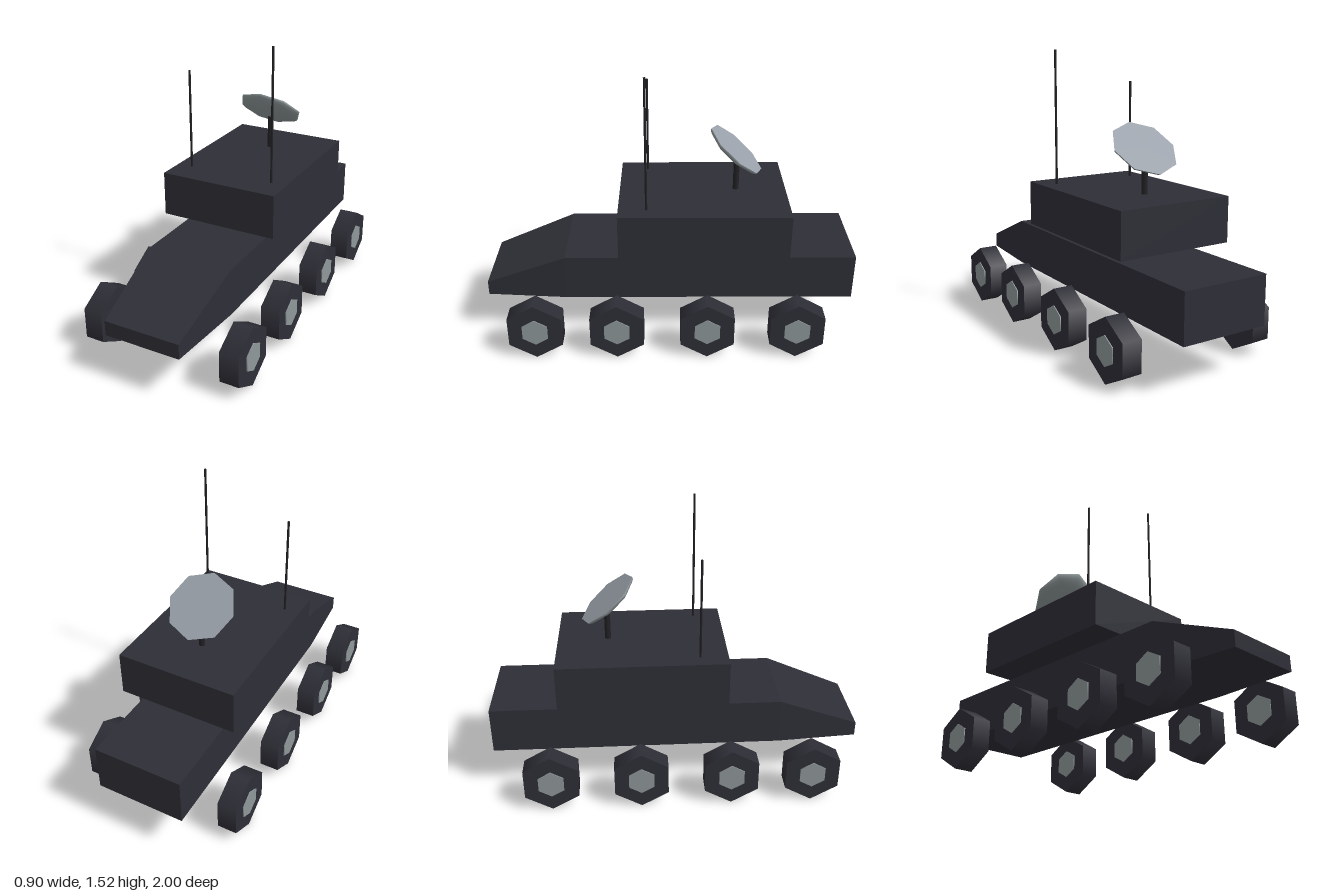
import * as THREE from 'three';

const mat = (name, color, side = THREE.FrontSide) => {
  const m = new THREE.MeshStandardMaterial({ color, side });
  m.name = name;
  return m;
};

export function createModel() {
  const armour = mat('dark armour', 0x2e2e37);
  const mast = mat('mast black', 0x222226);
  const hubGrey = mat('hub grey', 0x8f989a);
  const dishGrey = mat('dish grey', 0x99a0a9);

  const model = new THREE.Group();
  model.name = 'armouredVehicle';
  const add = (name, geometry, material, x, y, z, parent = model) => {
    const mesh = new THREE.Mesh(geometry, material);
    mesh.name = name;
    mesh.position.set(x, y, z);
    parent.add(mesh);
    return mesh;
  };

  // Hull: a box with a sloped, narrowing nose
  const bend = 0.565;
  const box = new THREE.BoxGeometry(0.48, 0.255, 2, 1, 1, 2);
  const p = box.attributes.position;
  for (let i = 0; i < p.count; i++) {
    if (Math.abs(p.getZ(i)) < 0.01) p.setZ(i, bend);
    else if (p.getZ(i) > 0) {
      p.setX(i, Math.sign(p.getX(i)) * 0.207);
      if (p.getY(i) > 0) p.setY(i, 0.33 - 0.3775);
    }
  }
  const hull = box.toNonIndexed();
  hull.computeVertexNormals();
  add('hull', hull, armour, 0, 0.3775, 0);

  // Raised cabin floating over the hull
  add('cabin', new THREE.BoxGeometry(0.65, 0.24, 0.9), armour, 0, 0.68, -0.18);

  // Hexagonal wheels, each with a hub through both faces
  const hexagon = (radius, width) =>
    new THREE.CylinderGeometry(radius, radius, width, 6, 1, false, Math.PI / 2).rotateZ(Math.PI / 2);
  const tyre = hexagon(0.166, 0.104);
  const hub = hexagon(0.078, 0.114);
  for (const side of [-1, 1]) {
    for (const z of [0.72, 0.283, -0.2, -0.68]) {
      const wheel = new THREE.Group();
      wheel.name = 'wheel';
      wheel.position.set(side * 0.391, 0.166, z);
      add('tyre', tyre, armour, 0, 0, 0, wheel);
      add('hub', hub, hubGrey, 0, 0, 0, wheel);
      model.add(wheel);
    }
  }

  // Two whip antennas of different height
  for (const [name, x, top] of [['rightAntenna', -0.24, 1.34], ['leftAntenna', 0.24, 1.52]]) {
    const height = top - 0.8;
    add(name, new THREE.CylinderGeometry(0.006, 0.006, height, 6), mast, x, 0.8 + height / 2, 0.122);
  }

  // Dish on a post, tilted up and back
  add('dishPost', new THREE.CylinderGeometry(0.016, 0.016, 0.19, 8), mast, 0, 0.89, -0.36);
  const dish = new THREE.Group();
  dish.name = 'dish';
  dish.position.set(0, 1.037, -0.357);
  dish.rotation.x = -0.707;
  const bowl = new THREE.SphereGeometry(0.181, 8, 6, 0, Math.PI * 2, Math.PI / 2, Math.PI / 2);
  add('dishBowl', bowl.scale(1, 0.25, 1), hubGrey, 0, 0, 0, dish);
  add('dishFace', new THREE.CircleGeometry(0.181, 8).rotateX(-Math.PI / 2), dishGrey, 0, 0, 0, dish);
  model.add(dish);

  return model;
}
